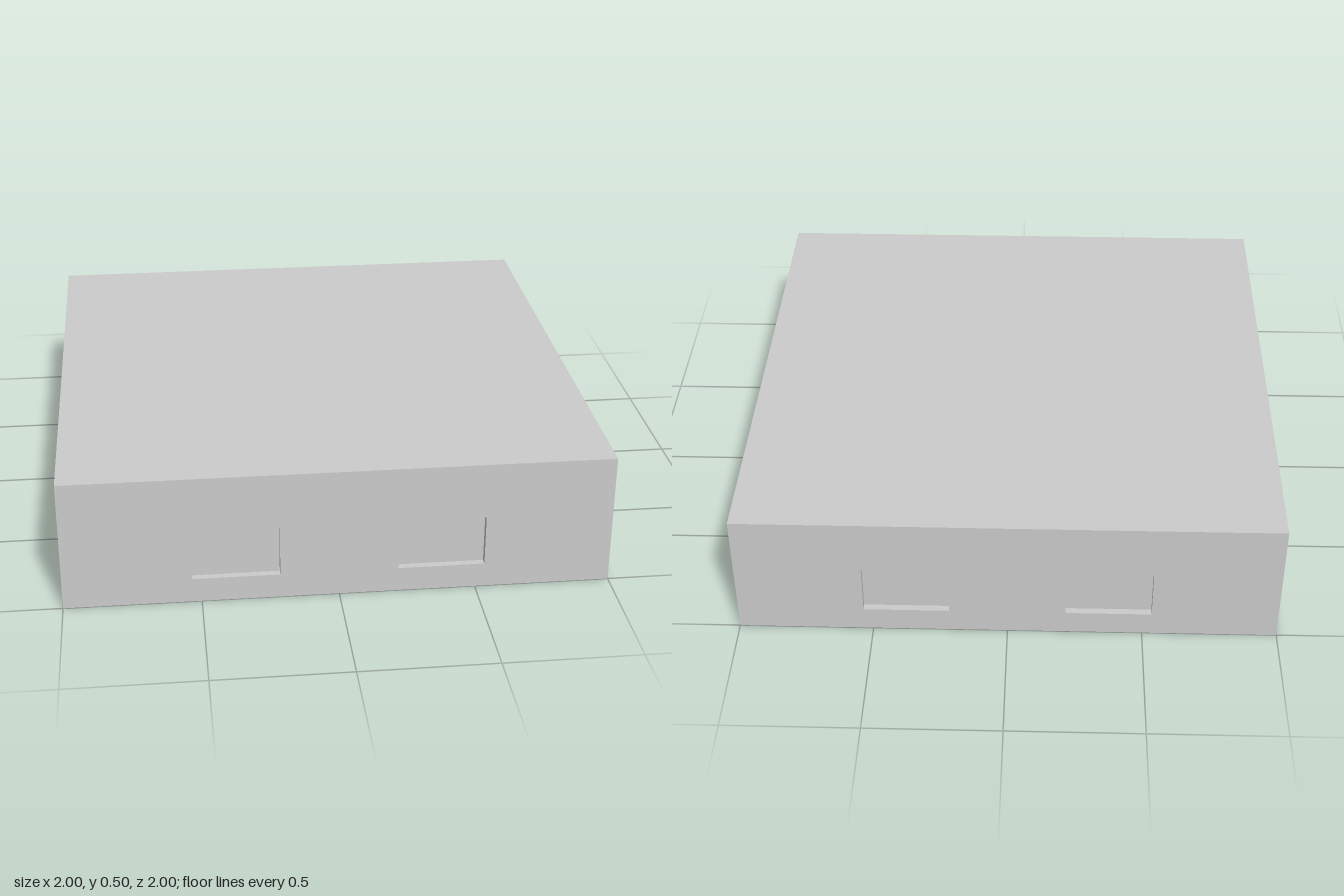
import * as THREE from 'three';

const material = new THREE.MeshStandardMaterial({ color: 0xcccccc });

// Blind pocket behind the plane z = 0: a box turned inside out with its front removed
function recessGeometry({ x, y, w, h }, depth) {
  const g = new THREE.BoxGeometry(w, h, depth);
  const index = Array.from(g.index.array);
  index.splice(24, 6);
  g.setIndex(index.reverse());
  const n = g.attributes.normal;
  for (let i = 0; i < n.count; i++) n.setXYZ(i, -n.getX(i), -n.getY(i), -n.getZ(i));
  return g.translate(x, y, -depth / 2);
}

// Flat face looking along +z, cut by rectangular pockets
function panel(name, width, height, pockets = [], depth = 0) {
  const rect = (Type, x, y, w, h) => new Type([
    new THREE.Vector2(x - w / 2, y - h / 2), new THREE.Vector2(x + w / 2, y - h / 2),
    new THREE.Vector2(x + w / 2, y + h / 2), new THREE.Vector2(x - w / 2, y + h / 2),
  ]);
  const shape = rect(THREE.Shape, 0, 0, width, height);
  const group = new THREE.Group();
  group.name = name;
  for (const p of pockets) {
    shape.holes.push(rect(THREE.Path, p.x, p.y, p.w, p.h));
    const recess = new THREE.Mesh(recessGeometry(p, depth), material);
    recess.name = name + 'Recess';
    group.add(recess);
  }
  const face = new THREE.Mesh(new THREE.ShapeGeometry(shape), material);
  face.name = name + 'Face';
  group.add(face);
  return group;
}

export function createModel() {
  const model = new THREE.Group();
  model.name = 'slab';
  const H = 0.5;

  // Two shallow windows on each pocketed side, two slots underneath
  const windows = [-1, 1].map((s) => ({ x: s * 0.374, y: 0.19 - H / 2, w: 0.318, h: 0.193 }));
  const slots = [-1, 1].map((s) => ({ x: 0, y: s * 0.38, w: 0.5, h: 0.07 }));

  // Sides: the +x side is plain
  const sides = [['front', 0, windows], ['left', 1, []], ['back', 2, windows], ['right', 3, windows]];
  for (const [name, turn, pockets] of sides) {
    const side = panel(name + 'Side', 2, H, pockets, 0.026);
    const angle = turn * Math.PI / 2;
    side.rotation.y = angle;
    side.position.set(Math.sin(angle), H / 2, Math.cos(angle));
    model.add(side);
  }

  const top = panel('top', 2, 2);
  top.rotation.x = -Math.PI / 2;
  top.position.y = H;

  const bottom = panel('bottom', 2, 2, slots, 0.1);
  bottom.rotation.x = Math.PI / 2;

  model.add(top, bottom);
  return model;
}
